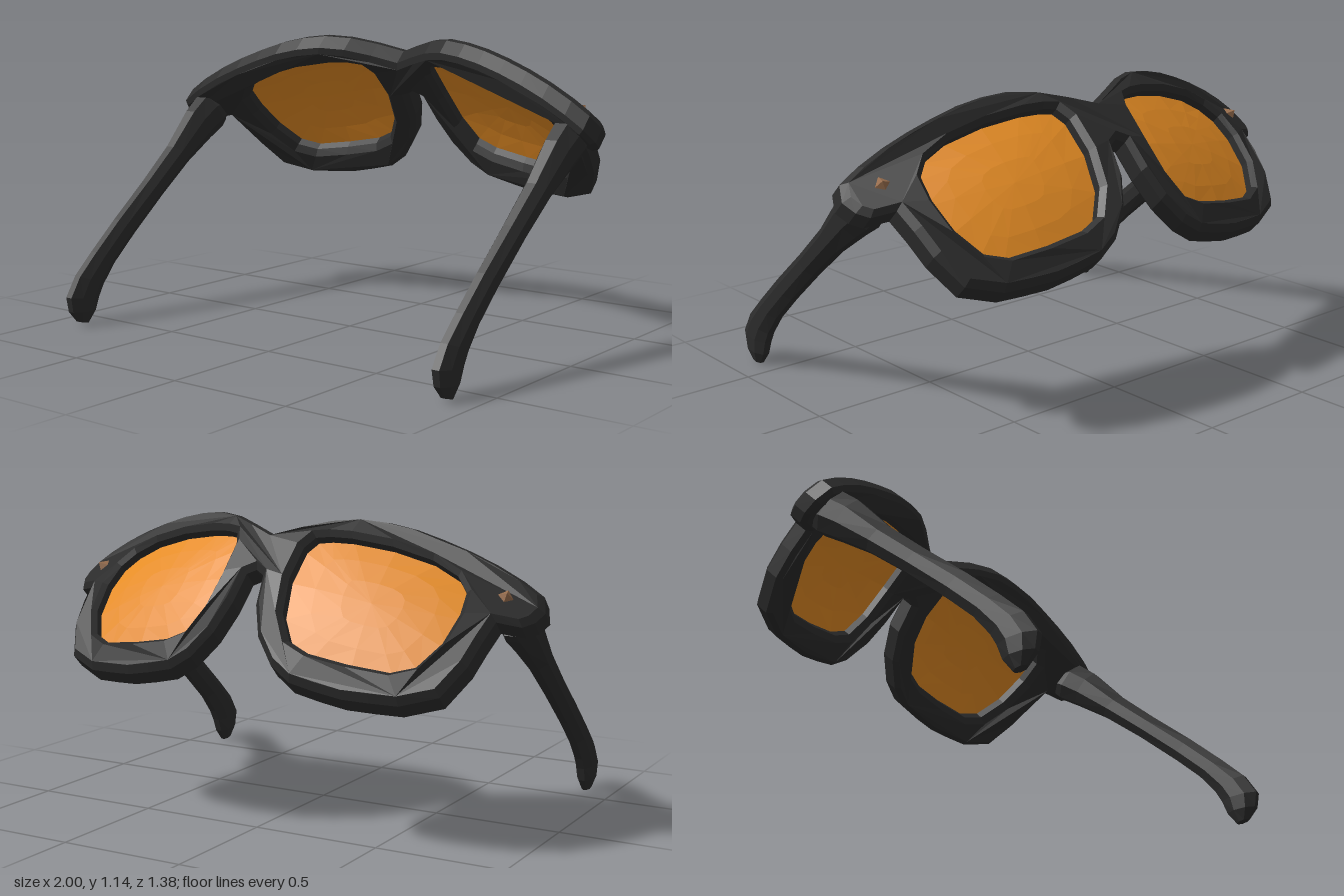
import * as THREE from 'three';

// Half outlines in the plane of the front: x outwards, v up
const RIM = [
  [0, 0.34], [0.035, 0.32], [0.05, 0.2], [0.095, 0.085], [0.17, -0.005], [0.25, -0.05], [0.35, -0.063],
  [0.45, -0.07], [0.55, -0.062], [0.65, -0.05], [0.78, 0.01], [0.84, 0.14], [0.86, 0.25], [0.875, 0.345],
  [0.955, 0.36], [0.985, 0.4], [1, 0.46], [0.975, 0.53], [0.9, 0.565], [0.8, 0.597], [0.7, 0.62],
  [0.6, 0.638], [0.5, 0.653], [0.4, 0.656], [0.3, 0.647], [0.2, 0.612], [0.1, 0.56], [0, 0.51],
];
const HOLE = [
  [0.145, 0.46], [0.17, 0.515], [0.22, 0.53], [0.3, 0.54], [0.45, 0.543], [0.6, 0.528], [0.7, 0.49],
  [0.75, 0.43], [0.76, 0.33], [0.74, 0.2], [0.68, 0.09], [0.6, 0.05], [0.45, 0.045], [0.3, 0.055],
  [0.22, 0.085], [0.165, 0.18], [0.142, 0.32],
];

// Forward bulge of the wrapped front
function bulge(x, v) {
  const k = 0.65 + 0.35 * Math.min(1, Math.max(0, v / 0.5));
  return 0.995 - 0.5 * (v - 0.4) ** 2 - 0.3 * Math.abs(x) ** 1.9 * k;
}

function wrap(geo, shift) {
  const p = geo.attributes.position;
  for (let i = 0; i < p.count; i++) p.setZ(i, p.getZ(i) + shift - bulge(p.getX(i), p.getY(i)));
  geo.computeVertexNormals();
  return geo;
}

// Closed skin through loops of equal length, with a fan at either end
function loft(loops) {
  const n = loops[0].length, pos = [], idx = [];
  loops.forEach(l => l.forEach(p => pos.push(...p)));
  for (let r = 0; r < loops.length - 1; r++) {
    for (let i = 0; i < n; i++) {
      const a = r * n + i, b = r * n + (i + 1) % n;
      idx.push(a, b, a + n, b, b + n, a + n);
    }
  }
  const last = (loops.length - 1) * n;
  for (let i = 1; i < n - 1; i++) idx.push(0, i + 1, i, last, last + i, last + i + 1);
  const g = new THREE.BufferGeometry();
  g.setAttribute('position', new THREE.Float32BufferAttribute(pos, 3));
  g.setIndex(idx);
  g.computeVertexNormals();
  return g;
}

function frameGeometry() {
  const v2 = ([x, y]) => new THREE.Vector2(x, y);
  const mirrored = RIM.slice(1, -1).reverse().map(([x, y]) => [-x, y]);
  const shape = new THREE.Shape([...RIM, ...mirrored].map(v2));
  for (const s of [1, -1]) shape.holes.push(new THREE.Path(HOLE.map(([x, y]) => v2([s * x, y]))));
  const geo = new THREE.ExtrudeGeometry(shape, {
    depth: 0.065, bevelEnabled: true, bevelSegments: 1, bevelSize: 0.02, bevelThickness: 0.022, bevelOffset: -0.02,
  });
  return wrap(geo, -0.0325);
}

// Curved lens: concentric copies of the opening, slightly oversized to sit in the rim
function lensGeometry(s) {
  const cx = 0.45, cy = 0.3, pos = [], idx = [], n = HOLE.length;
  const scales = [1.03, 0.7, 0.35];
  for (const k of scales) for (const [x, y] of HOLE) pos.push(s * (cx + (x - cx) * k), cy + (y - cy) * k, 0);
  pos.push(s * cx, cy, 0);
  const tri = (a, b, c) => (s > 0 ? idx.push(a, b, c) : idx.push(a, c, b));
  for (let r = 0; r < scales.length; r++) {
    for (let i = 0; i < n; i++) {
      const a = r * n + i, b = r * n + (i + 1) % n;
      if (r === scales.length - 1) tri(a, b, scales.length * n);
      else { tri(a, b, a + n); tri(b, b + n, a + n); }
    }
  }
  const g = new THREE.BufferGeometry();
  g.setAttribute('position', new THREE.Float32BufferAttribute(pos, 3));
  g.setIndex(idx);
  return wrap(g, 0);
}

// Temple sections: upper z, y, lower z, y, centre x, half width
const TEMPLE = [
  [-0.13, 0.86, -0.23, 0.76, 0.885, 0.055], [-0.1, 0.865, -0.205, 0.735, 0.885, 0.063],
  [-0.03, 0.81, -0.13, 0.69, 0.885, 0.056], [0.1, 0.67, 0.01, 0.6, 0.882, 0.045],
  [0.25, 0.54, 0.17, 0.475, 0.88, 0.04], [0.42, 0.4, 0.335, 0.335, 0.88, 0.036],
  [0.55, 0.285, 0.45, 0.23, 0.88, 0.036], [0.64, 0.2, 0.515, 0.15, 0.88, 0.036],
  [0.69, 0.12, 0.54, 0.105, 0.88, 0.036], [0.68, 0.06, 0.56, 0.05, 0.88, 0.032],
  [0.645, 0.015, 0.595, 0.003, 0.88, 0.018],
];
function templeGeometry(s) {
  const k = 1 / Math.cos(Math.PI / 8);
  return loft(TEMPLE.map(([uz, uy, lz, ly, cx, hw]) => {
    const loop = [];
    for (let i = 0; i < 8; i++) {
      const a = (i + 0.5) * Math.PI / 4, c = Math.cos(a) * k, t = Math.sin(a) * k / 2;
      loop.push([s * cx + hw * c, (uy + ly) / 2 + (uy - ly) * t, (uz + lz) / 2 + (uz - lz) * t]);
    }
    return loop;
  }));
}

export function createModel() {
  const black = new THREE.MeshStandardMaterial({ color: 0x2b2b2b, flatShading: true });
  black.name = 'black plastic';
  const orange = new THREE.MeshStandardMaterial({ color: 0xe58c24, flatShading: true, side: THREE.DoubleSide });
  orange.name = 'orange lens';
  const bronze = new THREE.MeshStandardMaterial({ color: 0x966c4c, flatShading: true });
  bronze.name = 'bronze';

  const model = new THREE.Group();
  model.name = 'sunglasses';
  const add = (parent, name, geo, mat) => {
    const m = new THREE.Mesh(geo, mat);
    m.name = name;
    parent.add(m);
    return m;
  };

  // Front, tipped back to rest on the temples
  const front = new THREE.Group();
  front.name = 'front';
  front.rotation.x = Math.PI / 4;
  model.add(front);
  add(front, 'frame', frameGeometry(), black);

  for (const [s, side] of [[1, 'left'], [-1, 'right']]) {
    add(front, side + 'Lens', lensGeometry(s), orange);
    // Small four-sided stud at the hinge
    const stud = add(front, side + 'Stud', new THREE.ConeGeometry(0.036, 0.035, 4).rotateX(-Math.PI / 2), bronze);
    stud.position.set(s * 0.88, 0.455, -bulge(0.88, 0.455) - 0.062);
    stud.rotation.y = -s * 0.45;
    add(model, side + 'Temple', templeGeometry(s), black);
  }
  return model;
}
